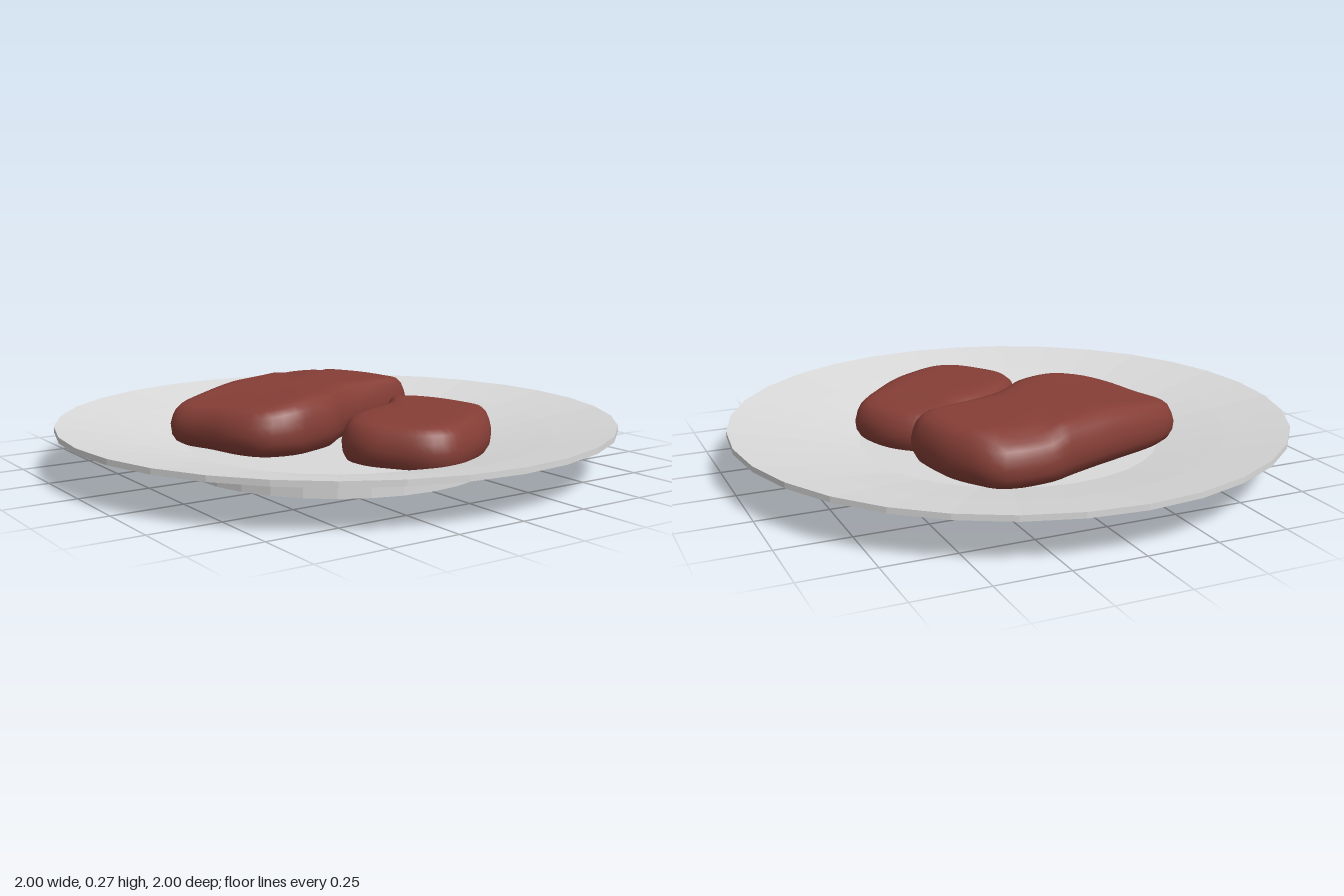
import * as THREE from 'three';

const plateGrey = new THREE.MeshStandardMaterial({ color: 0xd9d9d9, flatShading: true });
plateGrey.name = 'plate grey';
const meatBrown = new THREE.MeshStandardMaterial({ color: 0x853e36 });
meatBrown.name = 'meat brown';

const SIDES = 64;

// Soft slab: a closed outline [x, z] stacked in rings, each [inset, height 0..1]
function makeSlab(name, outline, rings, bottom, topAt) {
  const curve = new THREE.CatmullRomCurve3(
    outline.map(([x, z]) => new THREE.Vector3(x, 0, z)), true, 'centripetal');
  const loop = curve.getSpacedPoints(SIDES).slice(0, SIDES);
  const centre = loop.reduce((sum, p) => sum.add(p), new THREE.Vector3()).divideScalar(SIDES);
  const positions = [];
  const indices = [];
  const addPoint = (x, z, h) => positions.push(x, bottom + h * (topAt(x, z) - bottom), z);

  for (const [inset, h] of rings) {
    for (const p of loop) {
      const keep = 1 - inset / p.distanceTo(centre);
      addPoint(centre.x + (p.x - centre.x) * keep, centre.z + (p.z - centre.z) * keep, h);
    }
  }
  const low = rings.length * SIDES;
  const high = low + 1;
  addPoint(centre.x, centre.z, 0);
  addPoint(centre.x, centre.z, 1);

  for (let i = 0; i < SIDES; i++) {
    const j = (i + 1) % SIDES;
    for (let r = 0; r < rings.length - 1; r++) {
      const a = r * SIDES;
      const b = a + SIDES;
      indices.push(a + i, b + i, b + j, a + i, b + j, a + j);
    }
    const last = (rings.length - 1) * SIDES;
    indices.push(low, i, j, high, last + j, last + i);
  }
  const geometry = new THREE.BufferGeometry();
  geometry.setAttribute('position', new THREE.Float32BufferAttribute(positions, 3));
  geometry.setIndex(indices);
  geometry.computeVertexNormals();
  const mesh = new THREE.Mesh(geometry, meatBrown);
  mesh.name = name;
  return mesh;
}

export function createModel() {
  const group = new THREE.Group();
  group.name = 'plateOfMeat';

  // Plate with a foot ring, from the underside round the rim to the floor
  const profile = [
    [0, 0.03], [0.47, 0.03], [0.47, 0], [0.565, 0], [0.565, 0.06], [1, 0.145],
    [1, 0.165], [0.78, 0.125], [0.54, 0.075], [0, 0.075],
  ].map(([r, y]) => new THREE.Vector2(r, y));
  const plate = new THREE.Mesh(new THREE.LatheGeometry(profile, 32), plateGrey);
  plate.name = 'plate';
  group.add(plate);

  // Rounded slab edge, bottom to top
  const rings = [
    [0.1, 0], [0.05, 0.03], [0.02, 0.14], [0.004, 0.3], [0, 0.5], [0.008, 0.68],
    [0.022, 0.84], [0.045, 0.95], [0.08, 0.99], [0.14, 1],
  ];

  // Large piece: thinner towards its right end, with a low lobe at the back
  const { smoothstep } = THREE.MathUtils;
  const largeTop = (x, z) => 0.225 + 0.043 * smoothstep(x, -0.54, -0.15)
    - 0.006 * smoothstep(x, 0, 0.4)
    - 0.03 * smoothstep(-z, 0.44, 0.5) * smoothstep(x, 0, 0.1);
  group.add(makeSlab('largeMeat', [
    [-0.54, -0.25], [-0.5, -0.31], [-0.3, -0.41], [-0.15, -0.47], [0, -0.52],
    [0.08, -0.545], [0.28, -0.535], [0.33, -0.48], [0.4, -0.36], [0.43, -0.22],
    [0.425, -0.14], [0.3, -0.085], [0.12, -0.02], [0, 0.06], [-0.08, 0.12],
    [-0.2, 0.16], [-0.28, 0.175], [-0.4, 0.14], [-0.46, 0.05], [-0.5, -0.1],
  ], rings, 0.07, largeTop));

  // Small piece, level on top
  group.add(makeSlab('smallMeat', [
    [-0.17, 0.3], [-0.1, 0.19], [0.03, 0.1], [0.2, 0.03], [0.26, -0.04],
    [0.3, -0.06], [0.37, -0.04], [0.46, 0.06], [0.5, 0.25], [0.42, 0.37],
    [0.3, 0.49], [0.17, 0.57], [0.04, 0.615], [-0.04, 0.59], [-0.13, 0.48],
    [-0.17, 0.4],
  ], rings, 0.045, (x) => 0.217 - 0.012 * smoothstep(x, 0.25, 0.5)));

  return group;
}
